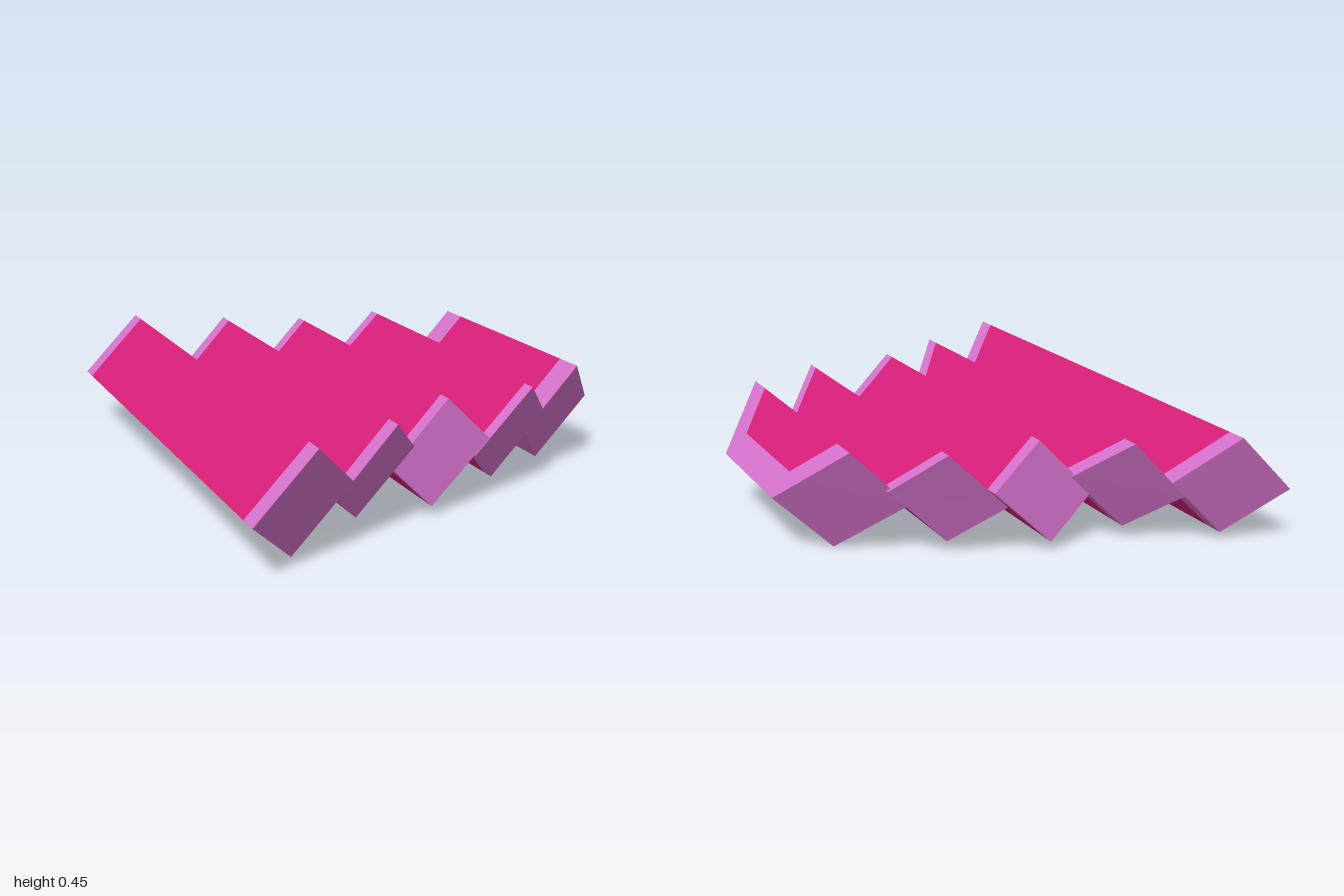
import * as THREE from 'three';

const flesh = new THREE.MeshStandardMaterial({ color: 0xd81f7a, flatShading: true });
const rind = new THREE.MeshStandardMaterial({ color: 0xd673cc, flatShading: true });

// Four-sided bar segment along z; corners run clockwise seen from +z,
// with a back and a front z for every corner, and optional end caps.
function segment(name, corners, back, front, material, capBack = false, capFront = false) {
  const pos = [];
  const b = corners.map(([x, y], i) => [x, y, back[i]]);
  const f = corners.map(([x, y], i) => [x, y, front[i]]);
  const quad = (p, q, r, s) => pos.push(...p, ...q, ...r, ...p, ...r, ...s);
  for (let i = 0; i < 4; i++) {
    const j = (i + 1) % 4;
    quad(b[i], f[i], f[j], b[j]);
  }
  if (capFront) quad(f[0], f[3], f[2], f[1]);
  if (capBack) quad(b[0], b[1], b[2], b[3]);
  const geometry = new THREE.BufferGeometry();
  geometry.setAttribute('position', new THREE.Float32BufferAttribute(pos, 3));
  geometry.computeVertexNormals();
  const mesh = new THREE.Mesh(geometry, material);
  mesh.name = name;
  return mesh;
}

const lerp = (a, b, t) => a + (b - a) * t;

// Bar with a flesh middle and rind at both slanted ends.
// corners: left, top, right, bottom; zWide on left/top, zNarrow on right/bottom.
// fleshPart < 1 leaves a strip of rind along the lower right side.
function bar({ name, corners, zWide, zNarrow, cap, fleshPart = 1, shift = 0 }) {
  const group = new THREE.Group();
  group.name = name;
  group.position.z = shift;
  const [l, t, r, b] = corners;
  const mix = (p, q) => [lerp(p[0], q[0], fleshPart), lerp(p[1], q[1], fleshPart)];
  const core = [l, t, mix(t, r), mix(l, b)];
  const zCut = lerp(zWide, zNarrow, fleshPart);
  const outer = [zWide, zWide, zCut, zCut];
  const inner = outer.map((z) => z - cap);
  const neg = (a) => a.map((z) => -z);
  group.add(
    segment('flesh', core, neg(inner), inner, flesh),
    segment('frontRind', core, inner, outer, rind, false, true),
    segment('backRind', core, neg(outer), neg(inner), rind, true, false)
  );
  if (fleshPart < 1) {
    const edge = [zCut, zNarrow, zNarrow, zCut];
    group.add(segment('sideRind', [core[2], r, b, core[3]], neg(edge), edge, rind, true, true));
  }
  return group;
}

export function createModel() {
  const model = new THREE.Group();
  model.name = 'slicedBars';
  const bars = [
    { name: 'longestBar', corners: [[-0.87, 0.22], [-0.64, 0.45], [-0.45, 0.26], [-0.68, 0.03]],
      zWide: 1.0, zNarrow: 0.85, cap: 0.08 },
    { name: 'secondBar', corners: [[-0.51, 0.2], [-0.285, 0.435], [-0.13, 0.28], [-0.36, 0.05]],
      zWide: 0.85, zNarrow: 0.675, cap: 0.07 },
    { name: 'middleBar', corners: [[-0.22, 0.21], [0.005, 0.44], [0.18, 0.265], [-0.055, 0.04]],
      zWide: 0.675, zNarrow: 0.672, cap: 0.057 },
    { name: 'fourthBar', corners: [[0.125, 0.205], [0.36, 0.435], [0.52, 0.275], [0.29, 0.045]],
      zWide: 0.67, zNarrow: 0.51, cap: 0.055 },
    { name: 'shortestBar', corners: [[0.435, 0.21], [0.66, 0.44], [0.87, 0.23], [0.64, 0]],
      zWide: 0.51, zNarrow: 0.275, cap: 0.117, fleshPart: 0.62, shift: 0.004 },
  ];
  bars.forEach((spec) => model.add(bar(spec)));
  return model;
}
